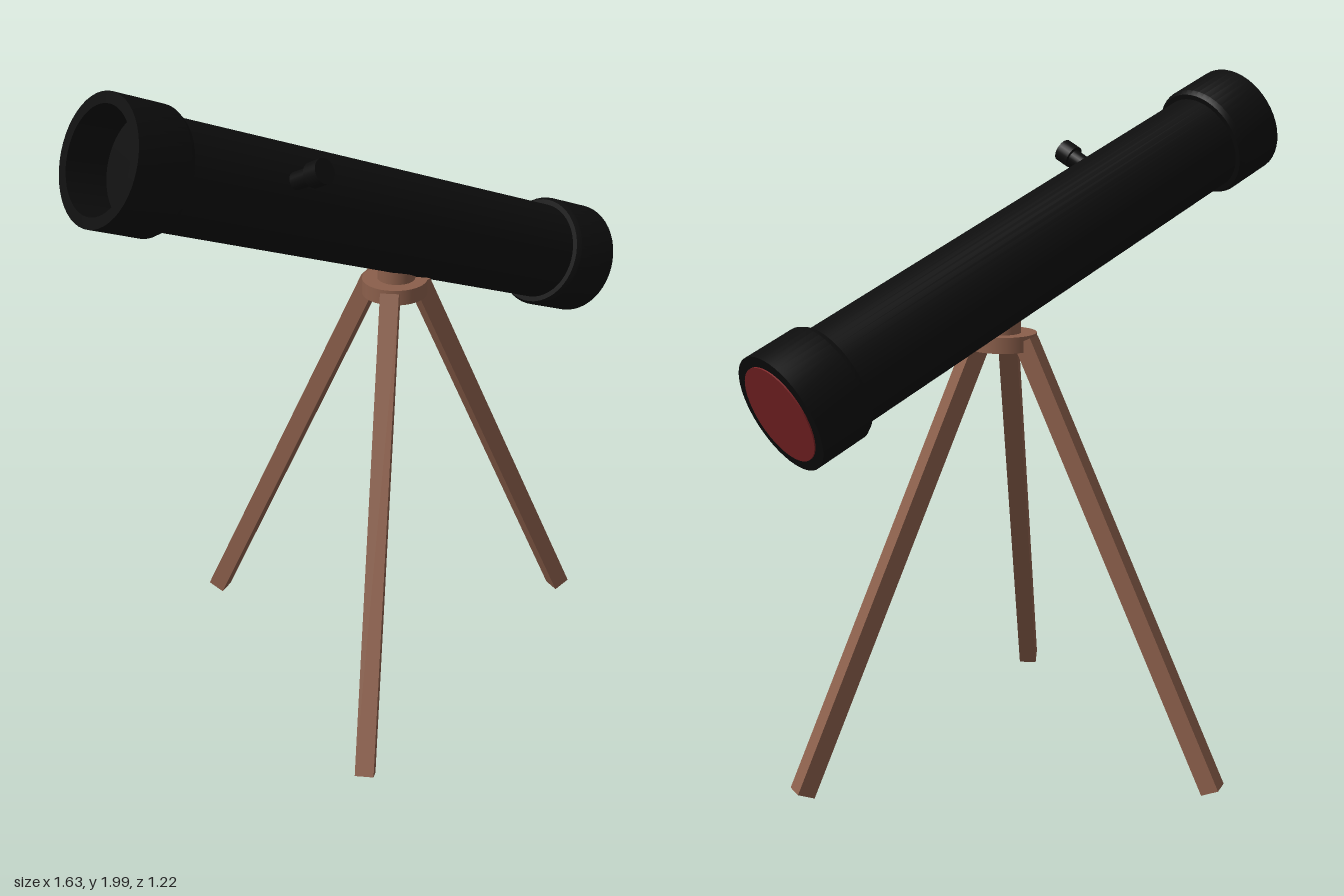
import * as THREE from 'three';
import { toCreasedNormals } from 'three/addons/utils/BufferGeometryUtils.js';

const V = (x, y, z) => new THREE.Vector3(x, y, z);
const UP = V(0, 1, 0);

export function createModel() {
  const model = new THREE.Group();
  model.name = 'telescope';
  const paint = (name, color) => {
    const m = new THREE.MeshStandardMaterial({ color });
    m.name = name;
    return m;
  };
  const black = paint('blackMetal', 0x0d0d0d);
  const wood = paint('brownWood', 0x8b5f4b);
  const red = paint('redGlass', 0x7d2426);

  const add = (parent, name, geometry, material, x = 0, y = 0, z = 0) => {
    const mesh = new THREE.Mesh(geometry, material);
    mesh.name = name;
    mesh.position.set(x, y, z);
    parent.add(mesh);
    return mesh;
  };
  const lathe = (points) => toCreasedNormals(
    new THREE.LatheGeometry(points.map(([r, y]) => new THREE.Vector2(r, y)), 48), 0.5);

  // Optical tube, built along its own y axis from the lower end to the upper end
  const low = V(0.711, 1.157, -0.461), high = V(-0.711, 1.843, 0.401);
  const axis = high.clone().sub(low);
  const L = axis.length();
  axis.normalize();
  const R = 0.168, r = 0.145, bore = 0.138, cap = 0.17;

  const scope = new THREE.Group();
  scope.name = 'opticalTube';
  scope.position.copy(low);
  scope.quaternion.setFromUnitVectors(UP, axis);
  model.add(scope);

  add(scope, 'tubeBody', lathe([[r, cap - 0.01], [r, L - cap + 0.01]]), black);
  add(scope, 'lowerCap', lathe([[0, 0], [R, 0], [R, cap - 0.015], [R - 0.008, cap], [r - 0.005, cap]]), black);
  add(scope, 'upperCap', lathe([
    [r - 0.005, L - cap], [R - 0.008, L - cap], [R, L - cap + 0.015], [R, L],
    [bore, L], [bore, L - 0.12], [0, L - 0.12],
  ]), black);
  add(scope, 'lens', new THREE.CylinderGeometry(bore, bore, 0.006, 48), red, 0, -0.001, 0);

  // Focus knob standing out from the side of the tube
  const knob = new THREE.Group();
  knob.name = 'focusKnob';
  knob.position.set(-0.31, 1.65, 0.158);
  knob.quaternion.setFromUnitVectors(UP, V(0.15, 0.11, 0.162).normalize());
  model.add(knob);
  add(knob, 'knobShaft', new THREE.CylinderGeometry(0.024, 0.024, 0.1, 24), black, 0, 0.175, 0);
  add(knob, 'knobHead', new THREE.CylinderGeometry(0.034, 0.034, 0.045, 24), black, 0, 0.23, 0);

  // Tripod head: a flat hub and a short neck under the tube
  const tripod = new THREE.Group();
  tripod.name = 'tripod';
  model.add(tripod);
  add(tripod, 'hub', new THREE.CylinderGeometry(0.095, 0.095, 0.045, 32), wood, 0.085, 1.262, -0.082);
  add(tripod, 'neck', new THREE.CylinderGeometry(0.055, 0.055, 0.09, 32), wood, 0.09, 1.3, -0.084);

  // Square legs, each turned to face away from the hub
  const legs = [
    ['frontLeg', V(0.06, 1.27, 0.0), V(-0.092, 0.034, 0.585)],
    ['rightLeg', V(0.03, 1.27, -0.14), V(-0.455, 0.022, -0.452)],
    ['leftLeg', V(0.155, 1.27, -0.09), V(0.69, 0.027, -0.302)],
  ];
  for (const [name, top, foot] of legs) {
    const along = top.clone().sub(foot);
    const leg = add(tripod, name, new THREE.BoxGeometry(0.054, along.length(), 0.054), wood);
    leg.position.copy(top).add(foot).multiplyScalar(0.5);
    along.normalize();
    const side = along.clone().cross(UP).normalize();
    const out = side.clone().cross(along);
    leg.quaternion.setFromRotationMatrix(new THREE.Matrix4().makeBasis(side, along, out));
  }
  return model;
}
